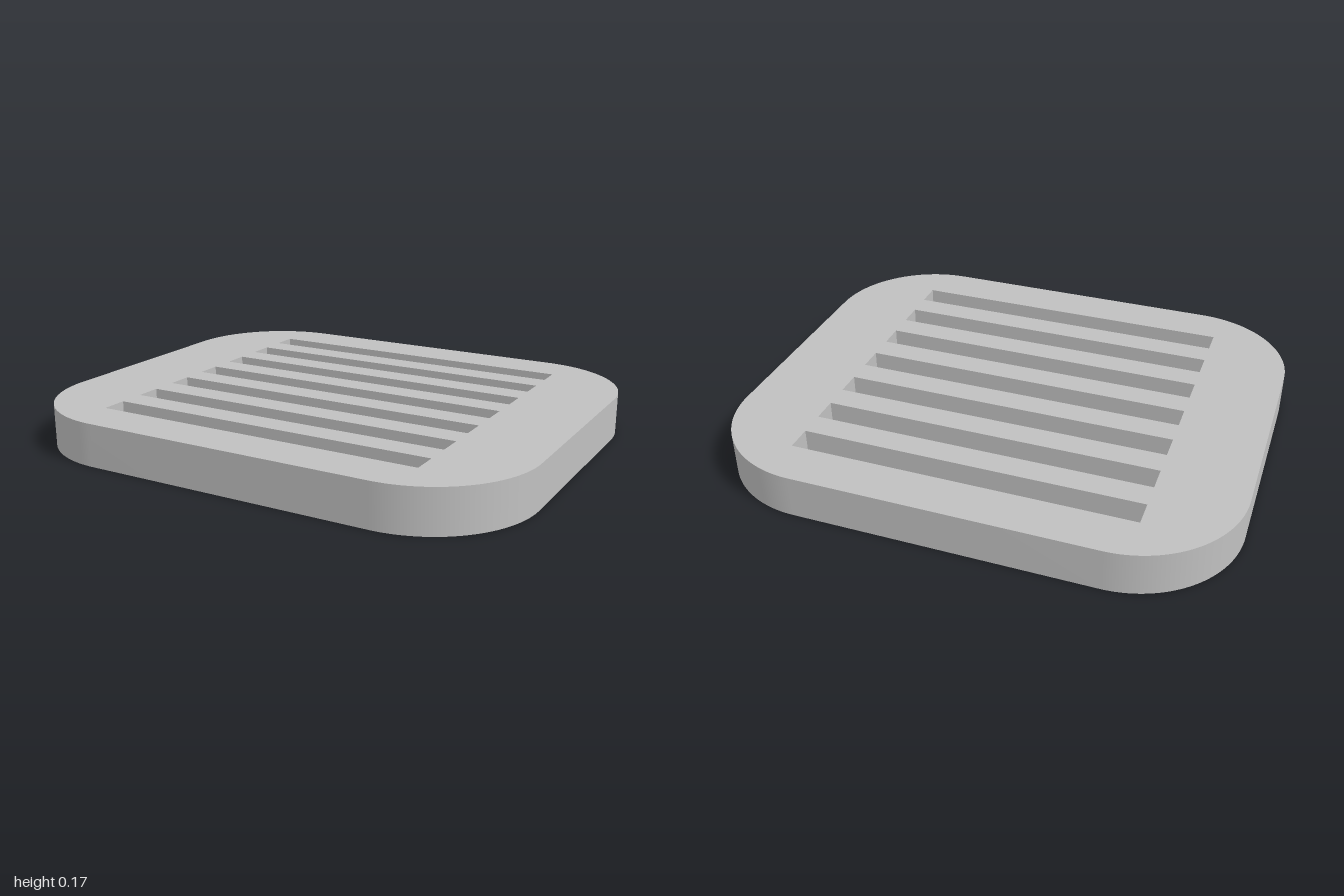
import * as THREE from 'three';
import { toCreasedNormals } from 'three/addons/utils/BufferGeometryUtils.js';

const HALF_WIDTH = 1, HALF_DEPTH = 0.842, HEIGHT = 0.168, RADIUS = 0.421;
const SLOTS = 7, SLOT_PITCH = 0.2033, SLOT_HALF_LENGTH = 0.665, SLOT_HALF_WIDTH = 0.051;

// Outline with large rounded corners
function roundedOutline(w, d, r) {
  const shape = new THREE.Shape();
  shape.absarc(w - r, d - r, r, 0, Math.PI / 2);
  shape.absarc(-w + r, d - r, r, Math.PI / 2, Math.PI);
  shape.absarc(-w + r, -d + r, r, Math.PI, Math.PI * 1.5);
  shape.absarc(w - r, -d + r, r, Math.PI * 1.5, Math.PI * 2);
  shape.closePath();
  return shape;
}

// Rectangular drain slot, cut right through
function slotHole(y) {
  const l = SLOT_HALF_LENGTH, h = SLOT_HALF_WIDTH;
  return new THREE.Path([[-l, y - h], [-l, y + h], [l, y + h], [l, y - h]]
    .map(([px, py]) => new THREE.Vector2(px, py))).closePath();
}

export function createModel() {
  const group = new THREE.Group();
  group.name = 'slottedTray';
  const grey = new THREE.MeshStandardMaterial({ color: 0xc0c0c0 });
  grey.name = 'light grey';

  const shape = roundedOutline(HALF_WIDTH, HALF_DEPTH, RADIUS);
  for (let i = 0; i < SLOTS; i++) {
    shape.holes.push(slotHole((i - (SLOTS - 1) / 2) * SLOT_PITCH));
  }

  // Slab laid flat, smooth round corners and sharp rims
  const extruded = new THREE.ExtrudeGeometry(shape, { depth: HEIGHT, bevelEnabled: false, curveSegments: 24 });
  extruded.rotateX(-Math.PI / 2);
  const plate = new THREE.Mesh(toCreasedNormals(extruded, Math.PI / 6), grey);
  plate.name = 'slottedPlate';
  group.add(plate);
  return group;
}
